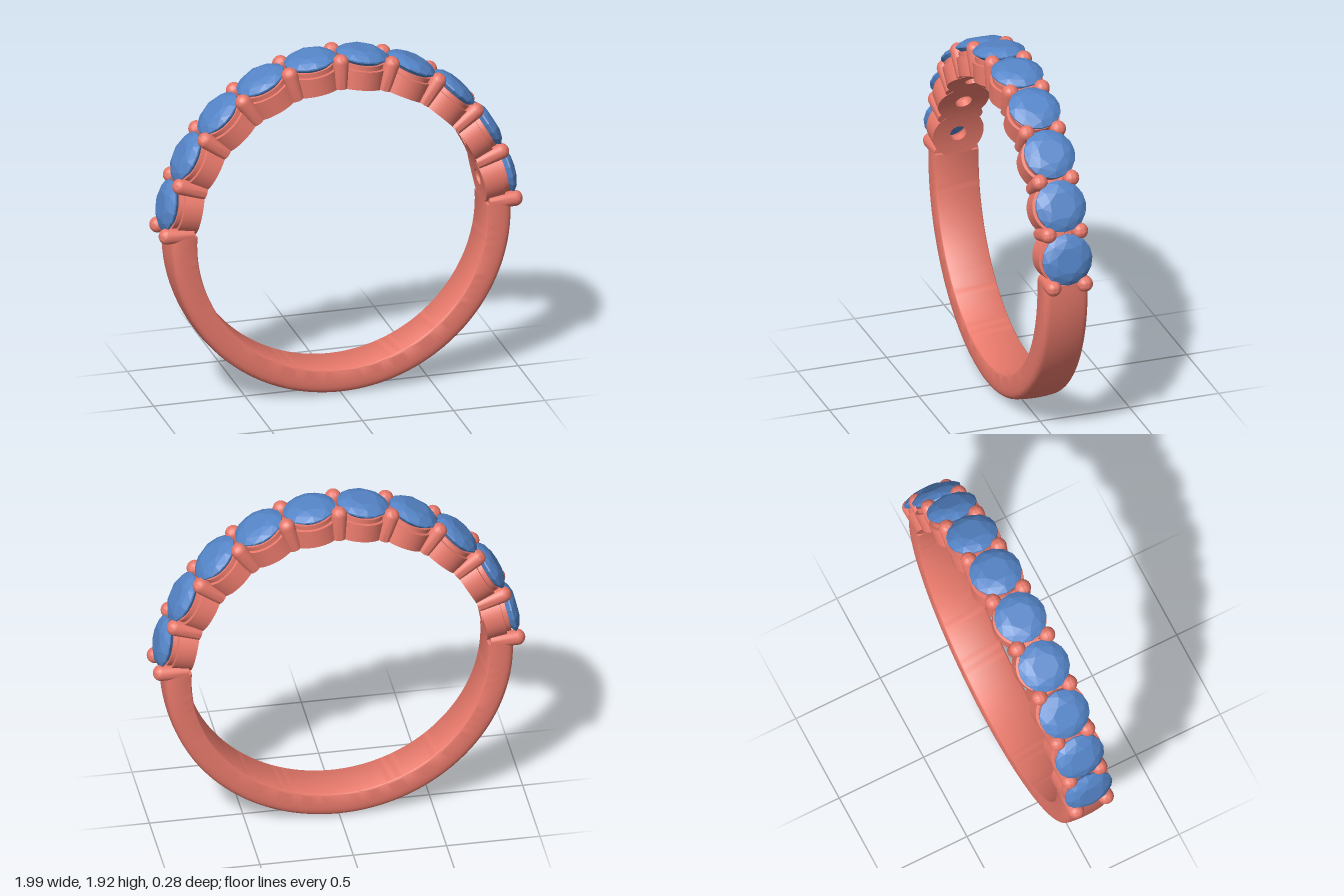
import * as THREE from 'three';
import { toCreasedNormals } from 'three/addons/utils/BufferGeometryUtils.js';
import { ConvexGeometry } from 'three/addons/geometries/ConvexGeometry.js';

const CENTRE_Y = 0.94;   // height of the ring's axis
const INNER = 0.795;     // finger hole radius
const OUTER = 0.94;      // band outside radius
const STONES = 10;
const STEP = THREE.MathUtils.degToRad(17.3);

const metal = new THREE.MeshStandardMaterial({ color: 0xe8796b });
const capMetal = new THREE.MeshStandardMaterial({ color: 0xe8796b, side: THREE.DoubleSide });
const blue = new THREE.MeshStandardMaterial({ color: 0x5585c8 });

const v2 = (pairs) => pairs.map(([x, y]) => new THREE.Vector2(x, y));

function mesh(name, geometry, material) {
  const m = new THREE.Mesh(geometry, material);
  m.name = name;
  return m;
}

// Plain lower band: a flat inside, rounded shoulders and a gently domed outside
function makeBand() {
  const group = new THREE.Group();
  group.name = 'band';
  const s = new THREE.Shape();
  s.moveTo(INNER, -0.115);
  s.quadraticCurveTo(INNER + 0.002, -0.122, INNER + 0.012, -0.124);
  s.lineTo(0.87, -0.126);
  s.bezierCurveTo(0.915, -0.125, 0.929, -0.115, 0.932, -0.085);
  s.quadraticCurveTo(OUTER + 0.004, 0, 0.932, 0.085);
  s.bezierCurveTo(0.929, 0.115, 0.915, 0.125, 0.87, 0.126);
  s.lineTo(INNER + 0.012, 0.124);
  s.quadraticCurveTo(INNER + 0.002, 0.122, INNER, 0.115);
  s.closePath();

  const profile = s.getPoints(8);
  const end = Math.PI - STEP * STONES / 2;
  const sweep = new THREE.LatheGeometry(profile, 96, -end, end * 2);
  group.add(mesh('bandSweep', toCreasedNormals(sweep, 0.6), metal));
  for (const phi of [-end, end]) {
    const cap = new THREE.ShapeGeometry(s, 8).rotateY(phi - Math.PI / 2);
    group.add(mesh('bandEnd', cap, capMetal));
  }
  group.rotation.x = Math.PI / 2;
  return group;
}

// Round cup with a stepped lip, a conical seat and a drilled base
function cupGeometry() {
  const g = new THREE.LatheGeometry(v2([
    [0.045, INNER], [0.07, INNER], [0.095, INNER], [0.12, INNER], [0.142, INNER],
    [0.142, 0.898], [0.127, 0.9], [0.127, 0.925], [0.114, 0.925],
    [0.045, 0.835], [0.045, INNER],
  ]), 48);
  // curve the underside to follow the finger hole
  const p = g.attributes.position;
  for (let i = 0; i < p.count; i++) {
    if (p.getY(i) < INNER + 0.001) p.setY(i, Math.sqrt(INNER ** 2 - p.getX(i) ** 2));
  }
  return toCreasedNormals(g, 0.6);
}

// Faceted round brilliant: table, crown, girdle and pavilion rings
function stoneGeometry() {
  const points = [];
  const ring = (r, y, n, turn = 0) => {
    for (let i = 0; i < n; i++) {
      const a = (i + turn) / n * Math.PI * 2;
      points.push(new THREE.Vector3(r * Math.cos(a), y, r * Math.sin(a)));
    }
  };
  ring(0.072, 0.987, 8, 0.5);
  ring(0.112, 0.974, 8);
  ring(0.139, 0.953, 16);
  ring(0.139, 0.945, 16);
  ring(0.065, 0.888, 8, 0.5);
  points.push(new THREE.Vector3(0, 0.842, 0));
  return new ConvexGeometry(points);
}

// Slightly tapered post with a domed tip
function prongGeometry() {
  const pts = [[0, 0.797], [0.036, 0.797]];
  for (let i = 0; i <= 8; i++) {
    const a = i / 8 * Math.PI / 2;
    pts.push([i === 8 ? 0 : 0.043 * Math.cos(a), 0.942 + 0.042 * Math.sin(a)]);
  }
  return toCreasedNormals(new THREE.LatheGeometry(v2(pts), 24), 0.6);
}

export function createModel() {
  const ring = new THREE.Group();
  ring.name = 'ring';
  const body = new THREE.Group();
  body.name = 'ringBody';
  body.position.y = CENTRE_Y;
  ring.add(body);
  body.add(makeBand());

  const cup = cupGeometry(), stone = stoneGeometry(), prong = prongGeometry();

  // Stones in their cups across the upper half
  for (let i = 0; i < STONES; i++) {
    const setting = new THREE.Group();
    setting.name = 'setting';
    setting.rotation.z = -(i - (STONES - 1) / 2) * STEP;
    setting.add(mesh('cup', cup, metal), mesh('stone', stone, blue));
    body.add(setting);
  }

  // A pair of prongs between neighbours and at each end
  for (let i = 0; i <= STONES; i++) {
    const pair = new THREE.Group();
    pair.name = 'prongPair';
    pair.rotation.z = -(i - STONES / 2) * STEP;
    const isEnd = i === 0 || i === STONES;
    for (const side of [-1, 1]) {
      const post = mesh('prong', prong, metal);
      post.position.set(0, isEnd ? 0.015 : 0, side * 0.088);
      pair.add(post);
    }
    body.add(pair);
  }
  return ring;
}
